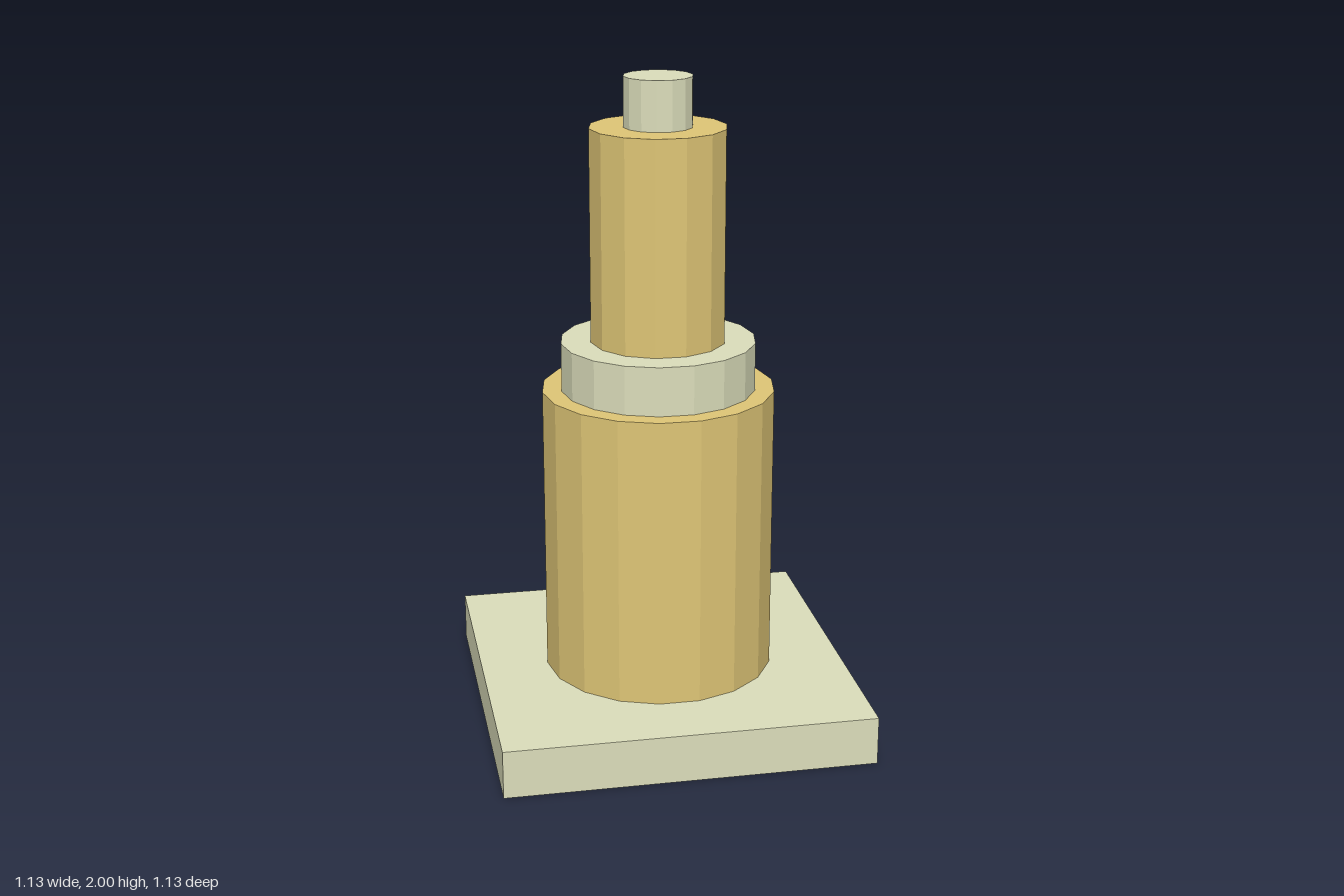
import * as THREE from 'three';

export function createModel() {
  const group = new THREE.Group();
  const pale = new THREE.MeshStandardMaterial({ color: 0xdcdebb, flatShading: true });
  const gold = new THREE.MeshStandardMaterial({ color: 0xdfc676, flatShading: true });

  const add = (name, geometry, material, y) => {
    const mesh = new THREE.Mesh(geometry, material);
    mesh.name = name;
    mesh.position.y = y;
    group.add(mesh);
  };

  // Square base plate
  add('basePlate', new THREE.BoxGeometry(1.13, 0.15, 1.13), pale, 0.075);

  // Stacked faceted drums, each with a corner on the x axis
  const drums = [
    // name, radius, bottom, top, sides, material
    ['lowerBody', 0.357, 0.15, 1.05, 18, gold],
    ['collar', 0.298, 1.05, 1.2, 18, pale],
    ['upperBody', 0.207, 1.2, 1.85, 14, gold],
    ['topPin', 0.104, 1.85, 2, 14, pale],
  ];
  for (const [name, r, y0, y1, sides, material] of drums) {
    const geometry = new THREE.CylinderGeometry(r, r, y1 - y0, sides, 1, false, Math.PI / 2);
    add(name, geometry, material, (y0 + y1) / 2);
  }
  return group;
}
